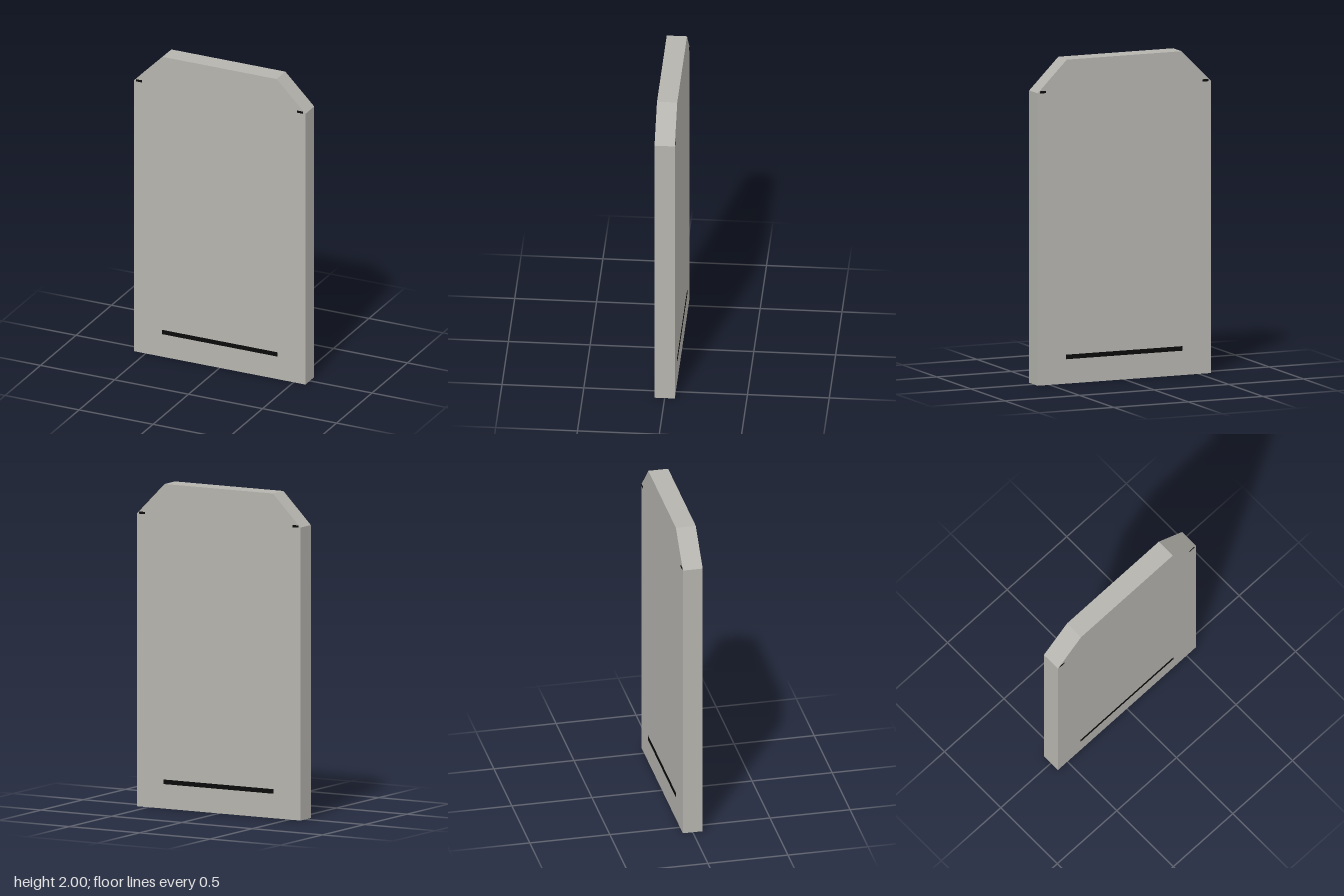
import * as THREE from 'three';

export function createModel() {
  const group = new THREE.Group();
  const stone = new THREE.MeshStandardMaterial({ color: 0xb5b4ae });
  stone.name = 'stone grey';
  const black = new THREE.MeshStandardMaterial({ color: 0x0a0a0a });
  black.name = 'black';

  const halfW = 0.58, topHalfW = 0.385, shoulderY = 1.805, height = 2, depth = 0.124;

  // Upright slab with two clipped upper corners
  const outline = new THREE.Shape([
    [-halfW, 0], [halfW, 0], [halfW, shoulderY],
    [topHalfW, height], [-topHalfW, height], [-halfW, shoulderY],
  ].map(([x, y]) => new THREE.Vector2(x, y)));
  const slabGeometry = new THREE.ExtrudeGeometry(outline, { depth, bevelEnabled: false });
  slabGeometry.translate(0, 0, -depth / 2);
  const slab = new THREE.Mesh(slabGeometry, stone);
  slab.name = 'slab';
  group.add(slab);

  // Thin painted marks, repeated on both faces
  const addMark = (name, w, h, x, y, side) => {
    const mark = new THREE.Mesh(new THREE.BoxGeometry(w, h, 0.003), black);
    mark.name = name;
    mark.position.set(x, y, side * depth / 2);
    group.add(mark);
  };
  for (const side of [1, -1]) {
    const face = side > 0 ? 'front' : 'back';
    addMark(face + 'Stripe', 0.78, 0.028, 0, 0.165, side);
    for (const x of [-0.545, 0.545]) addMark(face + 'ShoulderMark', 0.04, 0.014, x, 1.81, side);
  }
  return group;
}
